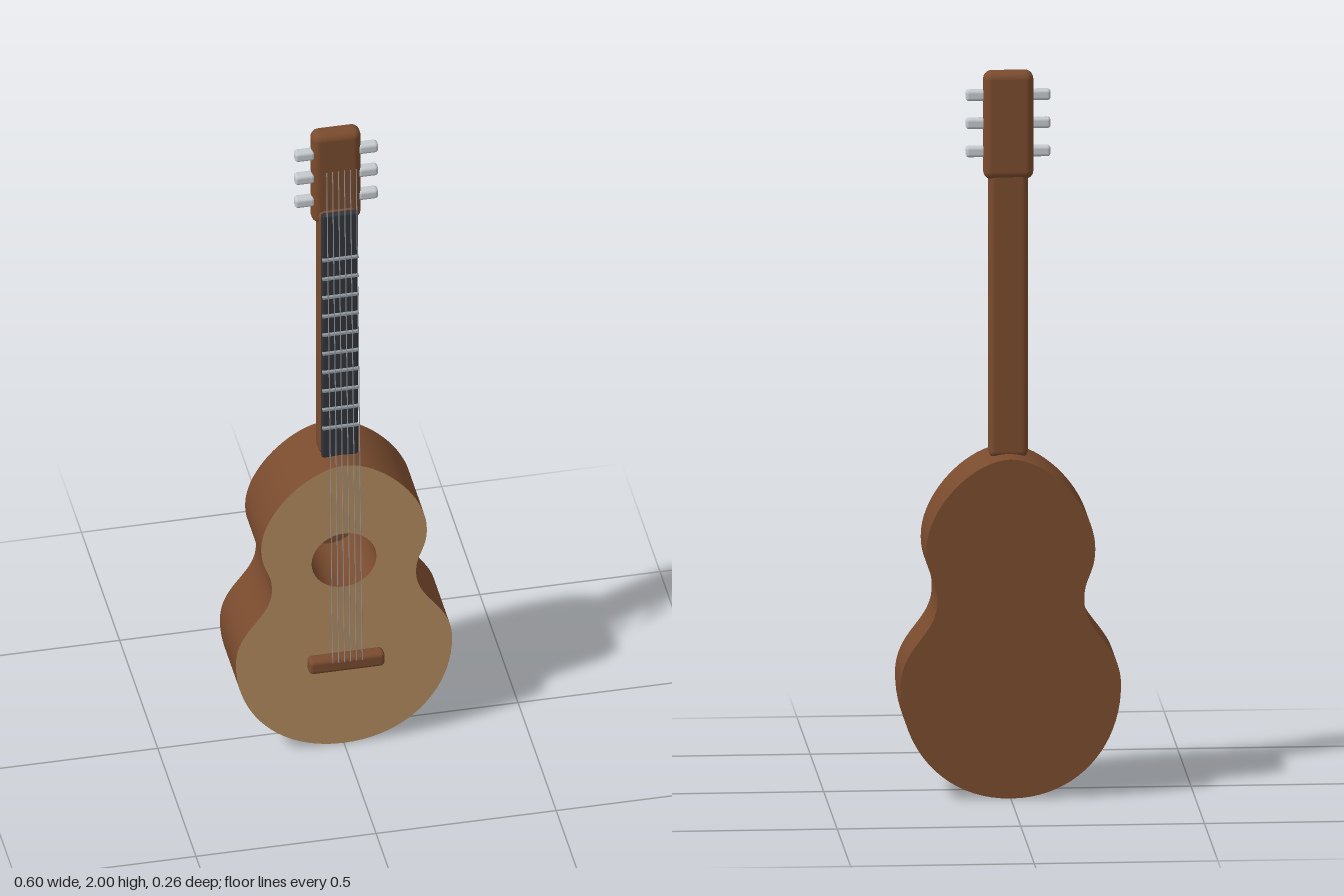
import * as THREE from 'three';
import { toCreasedNormals } from 'three/addons/utils/BufferGeometryUtils.js';
import { RoundedBoxGeometry } from 'three/addons/geometries/RoundedBoxGeometry.js';

function material(name, color) {
  const m = new THREE.MeshStandardMaterial({ color });
  m.name = name;
  return m;
}

// Figure-eight outline: right half as curves, left half mirrored in reverse
function bodyOutline() {
  const s = new THREE.Shape();
  s.moveTo(0, 0);
  s.bezierCurveTo(0.18, 0, 0.3, 0.14, 0.3, 0.31);
  s.bezierCurveTo(0.3, 0.43, 0.2, 0.45, 0.2, 0.55);
  s.bezierCurveTo(0.2, 0.61, 0.23, 0.62, 0.23, 0.69);
  s.bezierCurveTo(0.23, 0.81, 0.1, 0.94, 0, 0.94);
  s.bezierCurveTo(-0.1, 0.94, -0.23, 0.81, -0.23, 0.69);
  s.bezierCurveTo(-0.23, 0.62, -0.2, 0.61, -0.2, 0.55);
  s.bezierCurveTo(-0.2, 0.45, -0.3, 0.43, -0.3, 0.31);
  s.bezierCurveTo(-0.3, 0.14, -0.18, 0, 0, 0);
  return s;
}

export function createModel() {
  const guitar = new THREE.Group();
  guitar.name = 'guitar';

  const brown = material('brown wood', 0x7a4b2e);
  const tan = material('spruce top', 0xb08a5c);
  const dark = material('dark fretboard', 0x33343a);
  const silver = material('silver pegs', 0xc4c9ce);
  const steel = material('steel wire', 0x8f969d);

  const add = (name, geometry, mat, x, y, z) => {
    const mesh = new THREE.Mesh(geometry, mat);
    mesh.name = name;
    mesh.position.set(x, y, z);
    guitar.add(mesh);
    return mesh;
  };
  const slab = (depth, hole) => {
    const shape = bodyOutline();
    if (hole) shape.holes.push(new THREE.Path().absarc(0, 0.62, 0.09, 0, Math.PI * 2, true));
    const g = new THREE.ExtrudeGeometry(shape, { depth, bevelEnabled: false, curveSegments: 20 });
    return toCreasedNormals(g, 0.6);
  };

  // Body with sound hole, closed by the back plate
  add('body', slab(0.2, true), [tan, brown], 0, 0, -0.12);
  add('backPlate', slab(0.01, false), brown, 0, 0, -0.13);

  // Neck, fretboard, headstock and bridge
  add('neck', new RoundedBoxGeometry(0.106, 0.82, 0.065, 4, 0.018), brown, 0, 1.338, -0.0225);
  add('fretboard', new RoundedBoxGeometry(0.1, 0.82, 0.02, 3, 0.006), dark, 0, 1.345, 0.02);
  add('headstock', new RoundedBoxGeometry(0.136, 0.3, 0.056, 5, 0.023), brown, 0, 1.85, -0.033);
  add('bridge', new RoundedBoxGeometry(0.21, 0.045, 0.04, 4, 0.012), brown, 0, 0.297, 0.105);

  // Frets
  for (let i = 0; i < 10; i++) {
    add('fret', new THREE.BoxGeometry(0.1, 0.006, 0.01), steel, 0, 1.04 + i * 0.0633, 0.034);
  }

  // Tuning pegs, three on each side
  for (const side of [-1, 1]) {
    for (const y of [1.775, 1.853, 1.931]) {
      add('tuningPeg', new RoundedBoxGeometry(0.055, 0.03, 0.03, 3, 0.009), silver, side * 0.088, y, -0.026);
    }
  }

  // Strings, rising from the headstock to the bridge
  const low = new THREE.Vector3(0, 0.31, 0.127);
  const high = new THREE.Vector3(0, 1.915, 0.047);
  const run = high.clone().sub(low);
  const middle = low.clone().add(high).multiplyScalar(0.5);
  const string = new THREE.CylinderGeometry(0.0015, 0.0015, run.length(), 6);
  for (let i = 0; i < 6; i++) {
    const mesh = add('string', string, steel, (i - 2.5) * 0.0164, middle.y, middle.z);
    mesh.rotation.x = Math.atan2(run.z, run.y);
  }

  return guitar;
}
